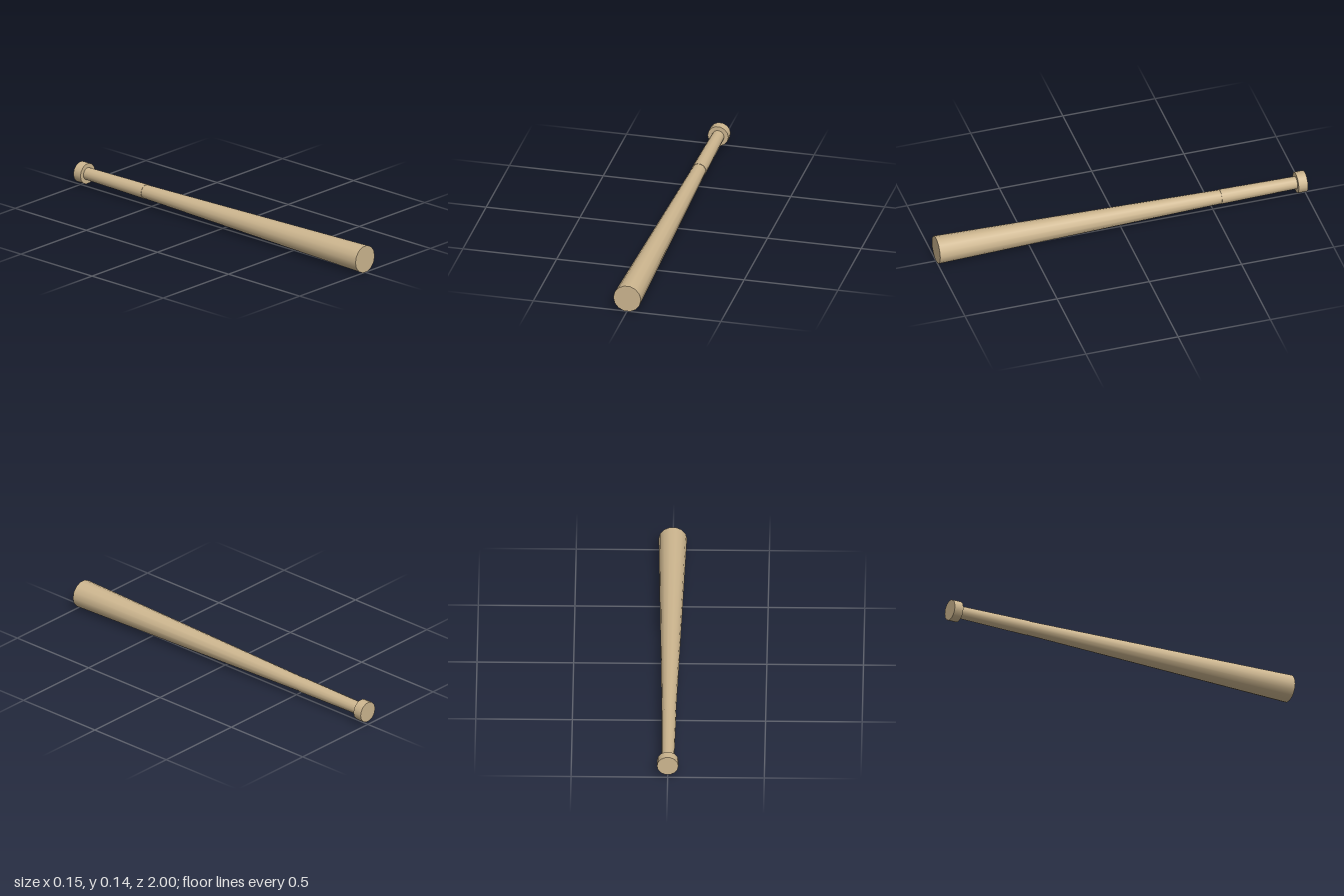
import * as THREE from 'three';

const SIDES = 14;
const AXIS_Y = 0.072;

// Tapered round section lying along z, from the back end to the front end
function section(name, zBack, zFront, rBack, rFront, material) {
  const geometry = new THREE.CylinderGeometry(
    rFront, rBack, zFront - zBack, SIDES, 1, false, Math.PI / 2);
  geometry.rotateX(Math.PI / 2);
  const mesh = new THREE.Mesh(geometry, material);
  mesh.name = name;
  mesh.position.set(0, AXIS_Y, (zBack + zFront) / 2);
  return mesh;
}

export function createModel() {
  const wood = new THREE.MeshStandardMaterial({ color: 0xcdb68f });
  wood.name = 'pale wood';

  const bat = new THREE.Group();
  bat.name = 'bat';
  bat.add(
    section('barrel', -0.54, 1, 0.037, 0.0735, wood),
    section('handle', -0.95, -0.54, 0.033, 0.039, wood),
    section('knob', -1, -0.95, 0.0555, 0.0555, wood),
  );
  return bat;
}
